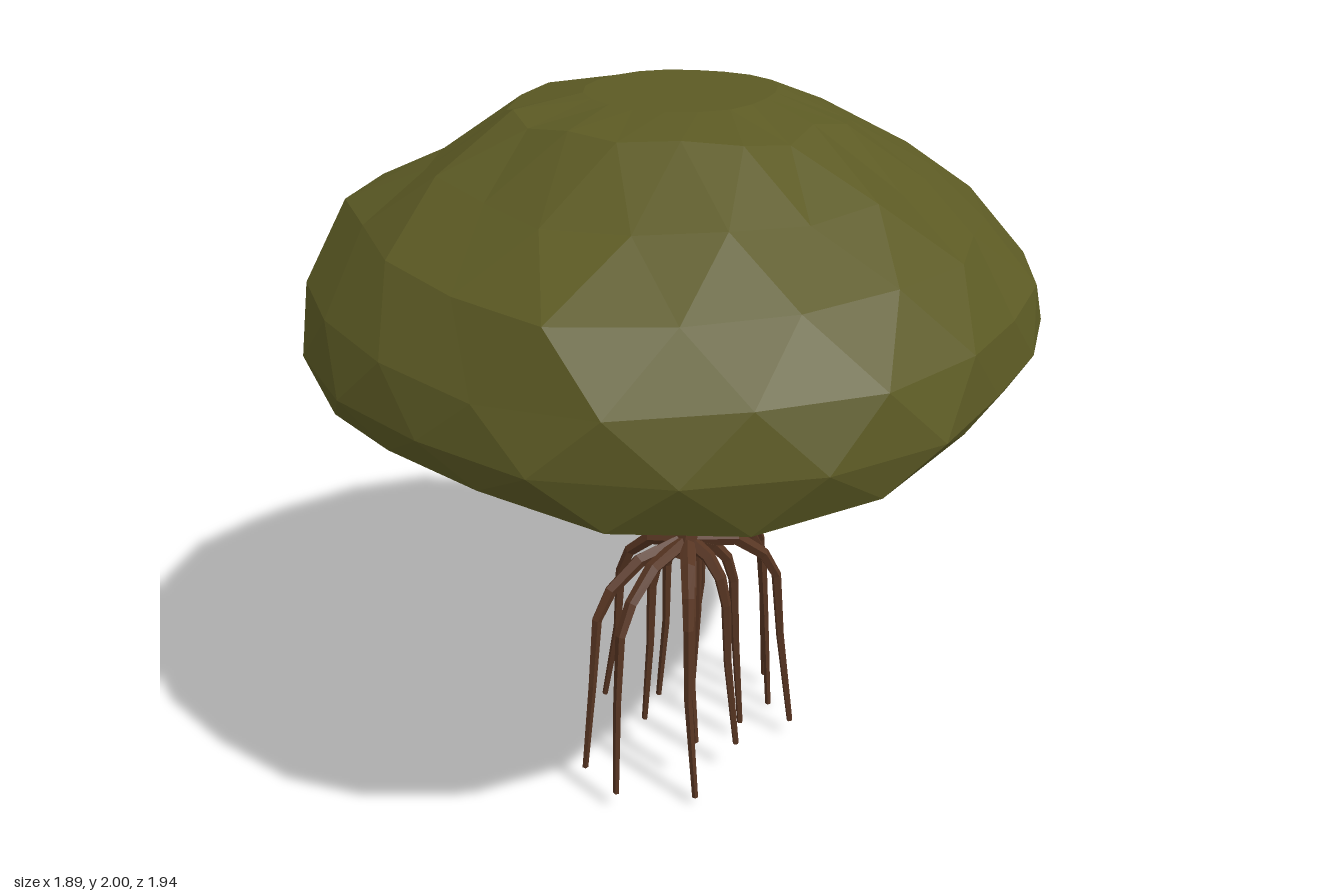
import * as THREE from 'three';

const leafGreen = new THREE.MeshStandardMaterial({ color: 0x5c5a24 });
const barkBrown = new THREE.MeshStandardMaterial({ color: 0x573522 });
leafGreen.name = 'leafGreen';
barkBrown.name = 'barkBrown';
leafGreen.flatShading = barkBrown.flatShading = true;

// Small seeded noise in -1..1
let seed = 7;
const noise = () => {
  seed = (seed * 16807) % 2147483647;
  return (seed / 2147483647) * 2 - 1;
};

// Canopy plan radius at equal angles, starting at +x and turning towards +z
const RADII = [0.91, 1, 1.01, 1.035, 0.975, 0.975, 0.98, 0.975, 0.955, 0.98, 0.97, 0.935, 0.965, 1.02, 0.97, 0.915];

function planRadius(angle) {
  const q = (angle / (Math.PI * 2)) * RADII.length, k = Math.floor(q);
  return THREE.MathUtils.lerp(RADII[k % RADII.length], RADII[(k + 1) % RADII.length], q - k);
}

// Canopy section, [share of plan radius, height]: dome, rim, then hollow
const DOME = [[0.25, 1.99], [0.44, 1.94], [0.65, 1.81], [0.85, 1.68], [0.97, 1.53], [1, 1.4]];
const RIM = [[0.96, 1.36], [0.85, 1.35]];
const HOLLOW = [[0.77, 1.4], [0.67, 1.52], [0.48, 1.62], [0.25, 1.68], [0, 1.7]];

// One canopy corner: the section varied by direction, with a little roughness
function canopyPoint(j, angle) {
  let [s, y] = [...DOME, ...RIM, ...HOLLOW][j];
  const front = Math.sin(angle), back = Math.max(0, -front) ** 4;
  const inRim = j >= DOME.length && j < DOME.length + RIM.length;
  if (j > 0 && j < 4) y += 0.025 * front;
  if (j === 3 || j === 4) s -= 0.03 * back;
  if (j === 5) y -= 0.09 * back;
  if (inRim) {
    // the rim dips at front and back and most of all on the diagonals
    const dip = Math.cos(angle) > 0 && front > 0 ? 0.08 : 0.045;
    y -= 0.04 * front ** 2 + dip * Math.sin(angle * 2) ** 2;
  } else if (j > 0 && j !== 5 && s > 0) {
    s *= 1 + (j === 4 ? 0.01 : 0.045) * noise();
    y += 0.02 * noise();
  }
  const r = s * planRadius(angle);
  return [r * Math.cos(angle), y, r * Math.sin(angle)];
}

// Canopy: staggered rings from the crown, over the rim and into the hollow
function makeCanopy() {
  const N = 20, count = DOME.length + RIM.length + HOLLOW.length;
  const rings = [Array(N).fill([0.02, 1.995, -0.02])];
  for (let j = 0; j < count; j++) {
    const shift = j % 2 ? 0 : 0.5;
    rings.push(Array.from({ length: N }, (_, i) => canopyPoint(j, ((i + shift) / N) * Math.PI * 2)));
  }
  const pos = [];
  const tri = (...corners) => corners.forEach((c) => pos.push(...c));
  for (let j = 0; j < count; j++) {
    for (let i = 0; i < N; i++) {
      const n = (i + 1) % N;
      const a = rings[j][i], a1 = rings[j][n], b = rings[j + 1][i], b1 = rings[j + 1][n];
      if (j === 0) tri(a, b1, b);
      else if (j % 2 === 0) tri(a, a1, b, a1, b1, b);
      else tri(a, b1, b, a, a1, b1);
    }
  }
  const geometry = new THREE.BufferGeometry();
  geometry.setAttribute('position', new THREE.Float32BufferAttribute(pos, 3));
  geometry.computeVertexNormals();
  const mesh = new THREE.Mesh(geometry, leafGreen);
  mesh.name = 'canopy';
  return mesh;
}

// Tapering faceted limb through the given points, closed at the tip
function limb(name, points, r0, r1, sides = 5) {
  const pts = points.map((p) => new THREE.Vector3(...p));
  const last = pts[pts.length - 1];
  pts.push(last.clone().add(last.clone().sub(pts[pts.length - 2]).setLength(0.004)));
  const n = pts.length - 1;
  const curve = new THREE.CatmullRomCurve3(pts);
  curve.getPointAt = (u, target) => curve.getPoint(u, target);
  curve.getTangentAt = (u, target) => curve.getTangent(u, target);
  const geometry = new THREE.TubeGeometry(curve, n, 1, sides);
  const p = geometry.attributes.position, v = new THREE.Vector3();
  for (let i = 0; i < p.count; i++) {
    const ring = Math.floor(i / (sides + 1));
    const r = ring === n ? 0 : r0 + ((r1 - r0) * ring) / (n - 1);
    v.fromBufferAttribute(p, i).sub(pts[ring]).multiplyScalar(r).add(pts[ring]);
    p.setXYZ(i, v.x, v.y, v.z);
  }
  geometry.computeVertexNormals();
  const mesh = new THREE.Mesh(geometry, barkBrown);
  mesh.name = name;
  return mesh;
}

// Main branches leave the top of the trunk; side branches leave a main one
function makeBranches() {
  const group = new THREE.Group();
  group.name = 'branches';
  const hub = [-0.03, 1.24, -0.04], frontFork = [0.07, 1.16, 0.19], frontBend = [0.12, 1.11, 0.44];
  const sideFork = [0.22, 1.15, 0.25], topFork = [0, 1.42, -0.05];
  const main = (...points) => group.add(limb('mainBranch', [hub, ...points], 0.033, 0.019));
  const side = (...points) => group.add(limb('sideBranch', points, 0.025, 0.016));

  main([-0.28, 1.14, -0.16], [-0.5, 1.27, -0.38], [-0.58, 1.36, -0.45]);
  main(frontFork, frontBend, [0.2, 1.17, 0.59], [0.3, 1.36, 0.78]);
  main([0.25, 1.2, -0.15], [0.42, 1.27, -0.32], [0.5, 1.4, -0.4]);
  main([-0.06, 1.2, -0.32], [0, 1.38, -0.58]);
  main(topFork, [0.1, 1.66, -0.14]);
  main([-0.06, 1.33, 0.08], [-0.15, 1.48, 0.26]);

  side(frontFork, sideFork, [0.45, 1.44, 0.4]);
  side(sideFork, [0.42, 1.44, 0.1]);
  side(frontBend, [0, 1.34, 0.68]);
  side([-0.45, 1.23, -0.33], [-0.53, 1.38, -0.2]);
  side(topFork, [-0.2, 1.6, -0.2]);
  return group;
}

// Tips of the stilt roots
const ROOT_TIPS = [
  [0.19, 0.02, 0.19], [0.02, 0.05, 0.34], [-0.12, 0.06, 0.31], [-0.1, 0.09, 0.05], [0.14, 0.15, 0.12],
  [-0.27, 0.1, 0.03], [-0.16, 0.07, -0.1], [0.2, 0.1, 0], [0.23, 0.05, -0.25], [0.12, 0.06, -0.14],
  [0.09, 0, -0.345], [0.02, 0.04, -0.425], [-0.21, 0.1, -0.35], [-0.11, 0.06, -0.21],
];

// Each root arches out from the trunk base to a knee, then drops to its tip
function makeRoots() {
  const group = new THREE.Group();
  group.name = 'roots';
  ROOT_TIPS.forEach((tip) => {
    const [x, y, z] = tip;
    const at = (share, height) => [0.02 + (x - 0.02) * share * 0.85, height, z * share];
    const reach = Math.hypot(x, z);
    group.add(limb('root', [
      [0.02, 0.73, 0], at(0.48, 0.68 + reach * 0.08), at(0.76, 0.64), at(0.9, 0.56), at(0.96, 0.33 + y / 3), tip,
    ], 0.024, 0.009));
  });
  return group;
}

export function createModel() {
  const tree = new THREE.Group();
  tree.name = 'stiltRootTree';
  const trunk = [[0.02, 0.68, 0.02], [0.02, 0.78, -0.01], [0.02, 0.98, -0.06], [-0.02, 1.18, -0.045], [-0.03, 1.31, -0.04]];
  tree.add(makeCanopy(), limb('trunk', trunk, 0.036, 0.034, 6), makeBranches(), makeRoots());
  return tree;
}
